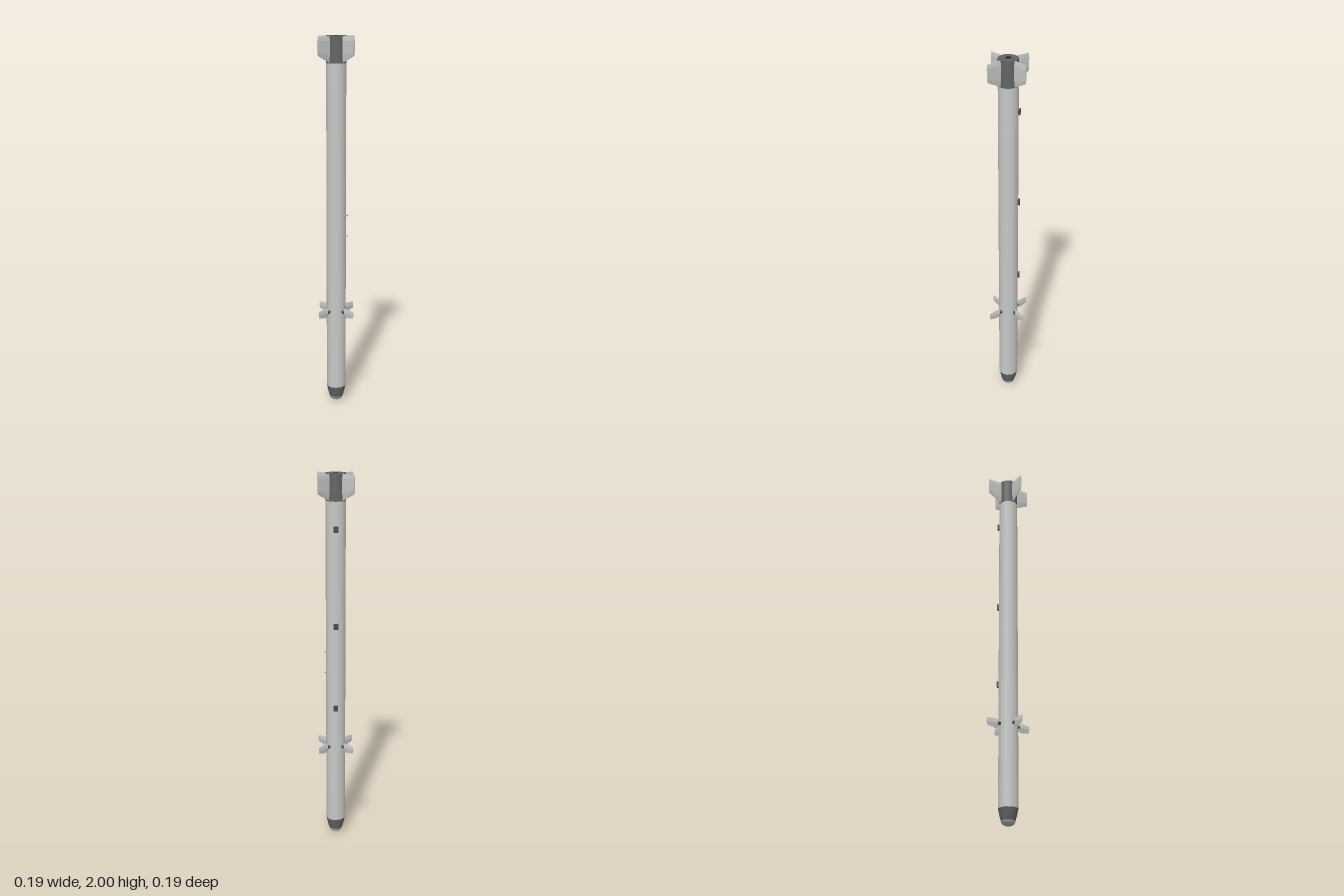
import * as THREE from 'three';
import { ConvexGeometry } from 'three/addons/geometries/ConvexGeometry.js';

const SIDES = 12;
const R = 0.052;

export function createModel() {
  const model = new THREE.Group();
  model.name = 'finnedTube';
  const mat = (name, color) => {
    const m = new THREE.MeshStandardMaterial({ color });
    m.name = name;
    return m;
  };
  const lightGrey = mat('lightGrey', 0xc6c8c6);
  const darkGrey = mat('darkGrey', 0x646464);
  const lugGrey = mat('lugGrey', 0x4c4c4c);
  const lensGrey = mat('lensGrey', 0xa8aaa8);
  const black = mat('black', 0x1c1c1c);

  const add = (name, geometry, material, parent = model) => {
    const mesh = new THREE.Mesh(geometry, material);
    mesh.name = name;
    parent.add(mesh);
    return mesh;
  };
  const lathe = (pts, sides) =>
    new THREE.LatheGeometry(pts.map(([r, y]) => new THREE.Vector2(r, y)), sides);

  // Main tube, dark tail band and flat end
  add('body', lathe([[R, 0.087], [R, 1.86]], SIDES), lightGrey);
  add('tailBand', lathe([[R, 1.86], [R, 2]], SIDES), darkGrey);
  add('tailEnd', new THREE.CircleGeometry(R, SIDES).rotateX(-Math.PI / 2), darkGrey).position.y = 1.999;
  add('exhaust', new THREE.CircleGeometry(0.015, 16).rotateX(-Math.PI / 2), black).position.y = 2;

  // Tapered nose ring and rounded lens, pointing down
  add('noseRing', lathe([[0.037, 0.026], [0.044, 0.05], [0.05, 0.078], [R, 0.087]], SIDES), darkGrey);
  const dome = [];
  for (let i = 0; i <= 6; i++) {
    const a = (i / 6) * Math.PI / 2;
    dome.push([0.037 * Math.sin(a), 0.026 * (1 - Math.cos(a))]);
  }
  add('noseLens', lathe(dome, SIDES), lensGrey);

  // Solid blade from [radius, height, half thickness] points
  const blade = (pts) => new ConvexGeometry(pts.flatMap(([r, y, t]) =>
    [new THREE.Vector3(r, y, t), new THREE.Vector3(r, y, -t)]));
  const finGeo = blade([
    [0.045, 1.86, 0.001], [0.045, 1.9, 0.006], [0.045, 1.975, 0.006], [0.045, 1.998, 0.002],
    [0.129, 1.902, 0.001], [0.129, 1.92, 0.005], [0.129, 1.975, 0.005], [0.129, 1.994, 0.002],
  ]);
  const canardGeo = blade([
    [0.061, 0.503, 0.001], [0.061, 0.525, 0.006], [0.061, 0.546, 0.001],
    [0.085, 0.497, 0.001], [0.085, 0.525, 0.005], [0.085, 0.548, 0.001],
    [0.129, 0.507, 0.001], [0.129, 0.525, 0.003], [0.129, 0.543, 0.001],
  ]);
  const pivotGeo = new THREE.CylinderGeometry(0.009, 0.009, 0.02, 10)
    .rotateZ(Math.PI / 2).translate(0.056, 0.525, 0);

  // Four tail fins and four pivoting front fins on the diagonals
  for (let i = 0; i < 4; i++) {
    const quarter = new THREE.Group();
    quarter.name = 'finPair' + (i + 1);
    quarter.rotation.y = Math.PI / 4 + i * Math.PI / 2;
    add('tailFin', finGeo, lightGrey, quarter);
    add('frontFin', canardGeo, lightGrey, quarter);
    add('frontFinPivot', pivotGeo, lugGrey, quarter);
    model.add(quarter);
  }

  // T-shaped hanger lugs along the back
  for (const y of [0.755, 1.21, 1.72]) {
    const lug = new THREE.Group();
    lug.name = 'hangerLug';
    lug.position.set(0, y, -R);
    add('lugNeck', new THREE.BoxGeometry(0.015, 0.03, 0.01), lugGrey, lug);
    add('lugPlate', new THREE.BoxGeometry(0.024, 0.03, 0.005), lugGrey, lug).position.z = -0.0065;
    model.add(lug);
  }

  // Two small studs on the left side
  for (const y of [0.945, 1.058]) {
    add('stud', new THREE.CylinderGeometry(0.005, 0.008, 0.014, 8).rotateZ(-Math.PI / 2), lightGrey)
      .position.set(0.055, y, 0);
  }
  return model;
}
